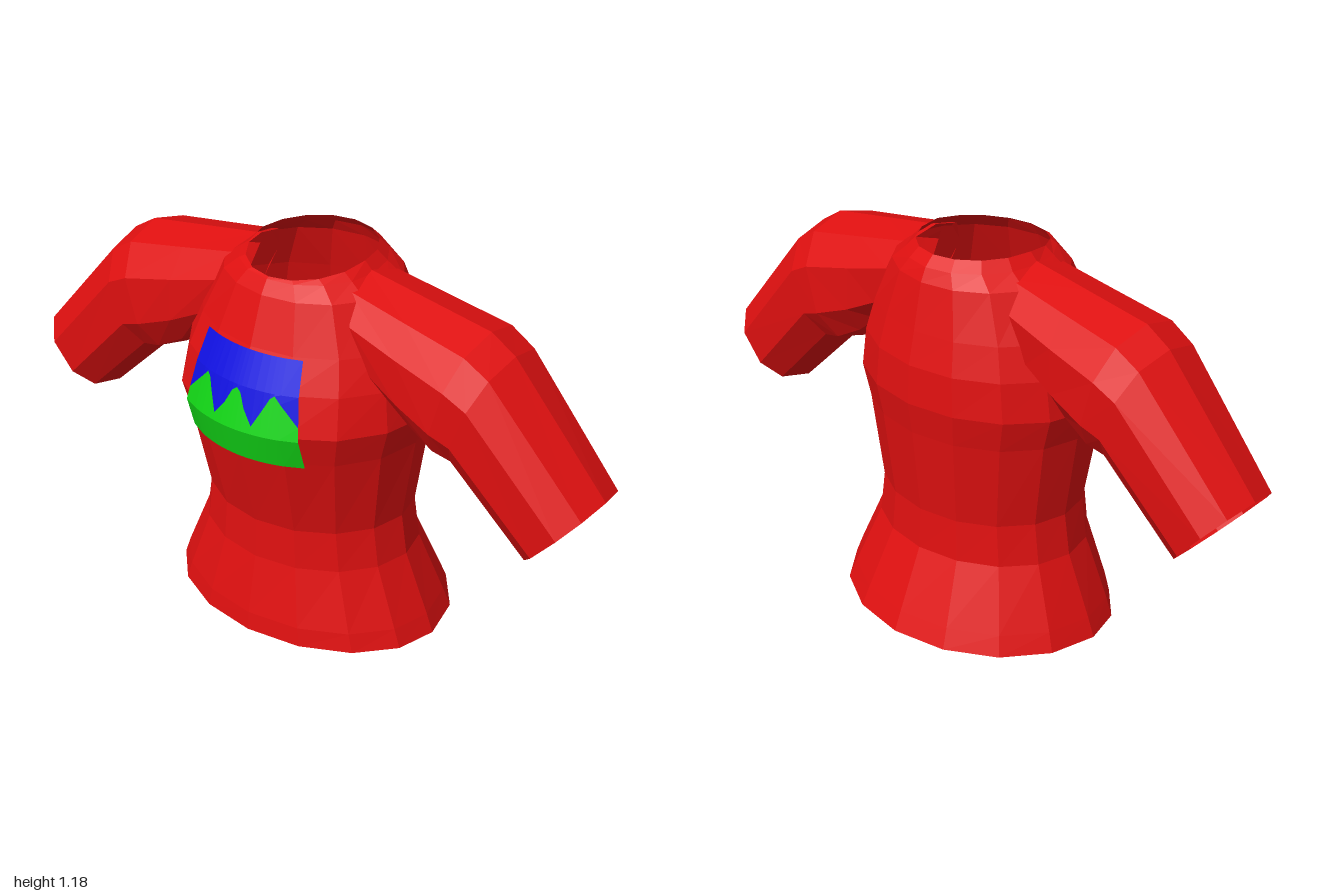
import * as THREE from 'three';

const flat = (name, color) => new THREE.MeshStandardMaterial({ name, color, flatShading: true, side: THREE.DoubleSide });

// Skin a list of equal-length cross-sections; skip(i, j) leaves a hole
function loft(rings, { closed = true, flip = false, skip = () => false } = {}) {
  const n = rings[0].length;
  const index = [];
  for (let i = 0; i < rings.length - 1; i++) {
    for (let j = 0; j < (closed ? n : n - 1); j++) {
      if (skip(i, j)) continue;
      const k = (j + 1) % n;
      const a = i * n + j, b = i * n + k, c = (i + 1) * n + k, d = (i + 1) * n + j;
      if (flip) index.push(a, c, b, a, d, c);
      else index.push(a, b, c, a, c, d);
    }
  }
  const g = new THREE.BufferGeometry();
  g.setAttribute('position', new THREE.Float32BufferAttribute(rings.flat(2), 3));
  g.setIndex(index);
  g.computeVertexNormals();
  return g;
}

// Torso levels: height, half width, front depth, back depth
const LEVELS = [
  [0, 0.46, 0.33, 0.39],
  [0.06, 0.437, 0.324, 0.364],
  [0.25, 0.355, 0.287, 0.28],
  [0.38, 0.335, 0.283, 0.272],
  [0.65, 0.375, 0.35, 0.3],
  [0.75, 0.405, 0.375, 0.315],
  [0.87, 0.385, 0.338, 0.308],
  [0.97, 0.35, 0.29, 0.285],
  [1.11, 0.275, 0.238, 0.254],
  [1.15, 0.215, 0.213, 0.235],
  [1.18, 0.185, 0.205, 0.205],
];
const SIDES = 16;

// Level values at any height
function levelAt(y) {
  let i = 0;
  while (i < LEVELS.length - 2 && LEVELS[i + 1][0] < y) i++;
  const t = (y - LEVELS[i][0]) / (LEVELS[i + 1][0] - LEVELS[i][0]);
  return LEVELS[i].map((v, k) => v + (LEVELS[i + 1][k] - v) * t);
}

function torsoGeometry() {
  const rings = LEVELS.map(([y, w, f, b], i) => Array.from({ length: SIDES }, (_, j) => {
    const a = (j / SIDES) * Math.PI * 2, c = Math.cos(a);
    // the neckline dips a little at the front
    const dip = i === LEVELS.length - 1 ? 0.025 * Math.max(0, c) : 0;
    return [w * Math.sin(a), y - dip, c * (c > 0 ? f : b)];
  }));
  // armholes inside the sleeves
  const skip = (i, j) => i >= 6 && i <= 7 && [3, 4, 11, 12].includes(j);
  return loft(rings, { skip });
}

// Sleeve sections: top x, top y, bottom x, bottom y, half depth
const SLEEVE = [
  [0.19, 1.16, 0.36, 0.81, 0.16],
  [0.4, 1.125, 0.42, 0.75, 0.175],
  [0.61, 1.09, 0.5, 0.7, 0.19],
  [0.69, 1.04, 0.56, 0.69, 0.185],
  [1.0, 0.69, 0.8, 0.46, 0.158],
];

function sleeveGeometry(side) {
  const n = 10;
  const soft = (v) => Math.sign(v) * Math.abs(v) ** 0.85;
  const rings = SLEEVE.map(([tx, ty, bx, by, d]) => Array.from({ length: n }, (_, j) => {
    const a = (j / n) * Math.PI * 2, c = soft(Math.cos(a));
    return [
      side * ((tx + bx) / 2 + c * (tx - bx) / 2),
      (ty + by) / 2 + c * (ty - by) / 2,
      d * soft(Math.sin(a)),
    ];
  }));
  return loft(rings, { flip: side < 0 });
}

// Chest panel: half of the zigzag edge as [u, y], mirrored across the centre
const ZIGZAG = [[0, 0.867], [0.08, 0.855], [0.175, 0.815], [0.33, 0.772], [0.48, 0.825], [0.58, 0.86], [0.65, 0.87], [0.74, 0.85], [1, 0.79]];
const COLUMNS = [...ZIGZAG.slice(1).reverse().map(([u, y]) => [-u, y]), ...ZIGZAG];

// Point on the chest, just in front of the torso
function chestPoint(u, y) {
  const half = y > 0.75 ? 0.205 - (y - 0.75) * 0.16 : 0.205;
  const x = u * half;
  const [, w, f] = levelAt(y);
  return [x, y, f * Math.sqrt(1 - (x / w) ** 2) + 0.014];
}

// Each row gives a height for every column's zigzag height
const panel = (rows) => loft(rows.map((row) => COLUMNS.map(([u, zig]) => chestPoint(u, row(zig)))), { closed: false });

export function createModel() {
  const red = flat('red cloth', 0xe01010);
  const blue = flat('blue print', 0x1010e0);
  const green = flat('green print', 0x12d416);

  const shirt = new THREE.Group();
  shirt.name = 'shirt';
  const add = (name, geometry, material) => {
    const mesh = new THREE.Mesh(geometry, material);
    mesh.name = name;
    shirt.add(mesh);
  };

  add('torso', torsoGeometry(), red);
  add('leftSleeve', sleeveGeometry(1), red);
  add('rightSleeve', sleeveGeometry(-1), red);

  // Chest print: green hills below a blue sky
  add('greenPanel', panel([() => 0.65, () => 0.75, (z) => z]), green);
  add('bluePanel', panel([(z) => z, () => 0.875, () => 0.97]), blue);

  return shirt;
}
